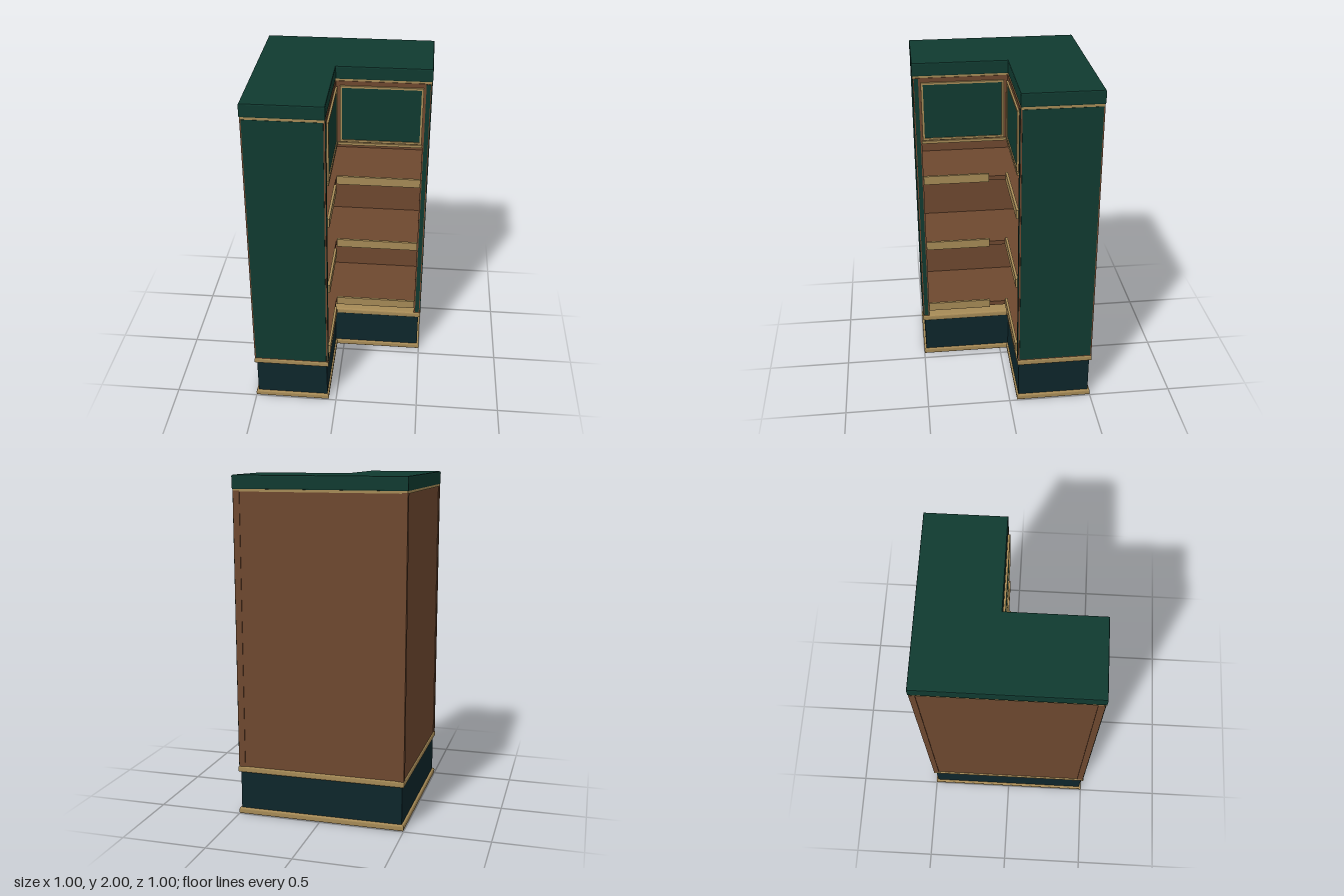
import * as THREE from 'three';

const mat = (name, color) => new THREE.MeshStandardMaterial({ name, color });

export function createModel() {
  const green = mat('dark green', 0x103a30);
  const brown = mat('walnut brown', 0x6e482f);
  const tan = mat('brass tan', 0xa68a56);
  const navy = mat('dark teal', 0x0d262b);

  const model = new THREE.Group();
  model.name = 'cornerCabinet';

  // Box given by its limits
  const box = (parent, name, m, [x0, x1], [y0, y1], [z0, z1]) => {
    const mesh = new THREE.Mesh(new THREE.BoxGeometry(x1 - x0, y1 - y0, z1 - z0), m);
    mesh.position.set((x0 + x1) / 2, (y0 + y1) / 2, (z0 + z1) / 2);
    mesh.name = name;
    parent.add(mesh);
    return mesh;
  };

  // L-shaped slab: outer half-size, notch corner, height range, edge bevel
  const slab = (name, m, outer, notch, y0, y1, bevel = 0, segments = 1) => {
    const s = new THREE.Shape([
      [-outer, -outer], [notch, -outer], [notch, -notch],
      [outer, -notch], [outer, outer], [-outer, outer],
    ].map(([x, y]) => new THREE.Vector2(x, y)));
    const geo = new THREE.ExtrudeGeometry(s, {
      depth: y1 - y0 - 2 * bevel, bevelEnabled: bevel > 0, bevelSize: bevel,
      bevelThickness: bevel, bevelOffset: -bevel, bevelSegments: segments,
    });
    geo.rotateX(-Math.PI / 2);
    const mesh = new THREE.Mesh(geo, m);
    mesh.position.y = y0 + bevel;
    mesh.name = name;
    model.add(mesh);
  };

  // Plinth, trims and crown
  slab('bottomTrim', tan, 0.5, -0.045, 0.003, 0.04, 0.01, 3);
  slab('plinth', navy, 0.487, -0.055, 0.03, 0.275);
  slab('plinthTopTrim', tan, 0.5, -0.045, 0.264, 0.302, 0.01, 3);
  slab('headerCore', brown, 0.48, -0.047, 1.525, 1.912);
  slab('crownBead', tan, 0.497, -0.05, 1.908, 1.923);
  slab('crown', green, 0.5, -0.048, 1.92, 2, 0.008, 2);

  // Shelf boards
  const shelves = [0.35, 0.8, 1.25];
  shelves.forEach((y) => slab('shelf', brown, 0.48, -0.05, y, y + 0.028));

  // The wings mirror each other: swapping x and z turns one into the other
  for (const swap of [false, true]) {
    const wing = new THREE.Group();
    wing.name = swap ? 'frontWing' : 'leftWing';
    model.add(wing);
    const put = (name, m, x, y, z) => swap
      ? box(wing, name, m, z, y, x) : box(wing, name, m, x, y, z);

    // Back wall and end panel with its green facings
    put('backWall', brown, [-0.48, 0.48], [0.3, 1.91], [-0.494, -0.47]);
    put('endPanel', brown, [0.457, 0.495], [0.3, 1.912], [-0.498, -0.05]);
    put('endFacing', green, [0.495, 0.499], [0.308, 1.908], [-0.49, -0.058]);
    put('endEdgeFacing', green, [0.465, 0.489], [0.308, 1.908], [-0.05, -0.046]);

    // Shelf-edge rails; one side stops short of the inner corner
    shelves.forEach((y) => put('shelfRail', tan,
      [swap ? 0.065 : -0.045, 0.457], [y - 0.003, y + 0.05], [-0.05, -0.035]));

    // Header panel, frame and lower ledge
    put('headerPanel', green, [-0.016, 0.44], [1.538, 1.875], [-0.047, -0.042]);
    for (const y of [1.535, 1.874])
      put('headerFrameRail', tan, [-0.024, 0.452], [y, y + 0.012], [-0.047, -0.036]);
    for (const x of [-0.024, 0.44])
      put('headerFrameStile', tan, [x, x + 0.012], [1.535, 1.886], [-0.047, -0.036]);
    put('headerLedge', tan, [-0.047, 0.457], [1.513, 1.529], [-0.06, -0.037]);
  }

  // Rear corner post
  box(model, 'rearCornerPost', brown, [-0.498, -0.465], [0.3, 1.912], [-0.498, -0.465]);

  return model;
}
